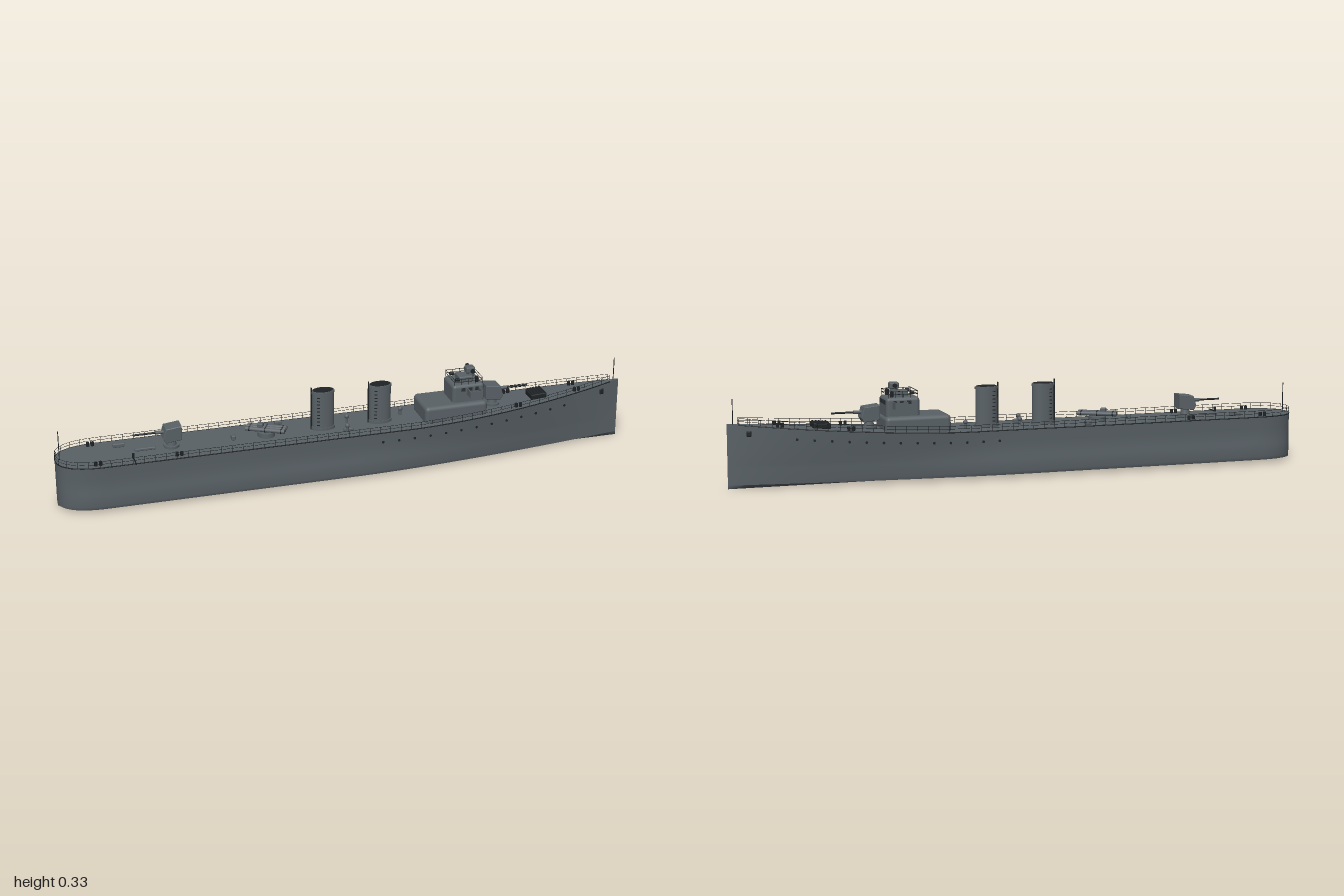
import * as THREE from 'three';
import { mergeGeometries } from 'three/addons/utils/BufferGeometryUtils.js';
import { RoundedBoxGeometry } from 'three/addons/geometries/RoundedBoxGeometry.js';

const mat = (name, color, side = THREE.FrontSide) => {
  const m = new THREE.MeshStandardMaterial({ color, side });
  m.name = name;
  return m;
};
const V = (x, y, z) => new THREE.Vector3(x, y, z);
const clamp = THREE.MathUtils.clamp, lerp = THREE.MathUtils.lerp;

// Hull lines: deck height, plan half-widths and the side profile
const deckY = x => 0.165 + 0.051 * Math.pow(clamp((x - 0.2) / 0.8, 0, 1), 1.5);
const sternTaper = x => Math.pow(Math.max(0, 1 - Math.pow(clamp((-0.84 - x) / 0.16, 0, 1), 2.4)), 1 / 2.4);
const deckHalf = x => 0.1 * (1 - Math.pow(clamp((x - 0.2) / 0.8, 0, 1), 2.2)) * sternTaper(x);
const keelHalf = x => 0.1 * (1 - Math.pow(clamp((x - 0.02) / 0.98, 0, 1), 1.6)) * sternTaper(x);
// Each level: height, blend from keel plan to deck plan, width factor
const LEVELS = [[0.012, 0, 0.95], [0.024, 0, 1], [0.065, 0.2, 1], [0.08, 0.35, 0.955], [0.12, 0.7, 0.955], [null, 1, 0.985]];
const profile = x => LEVELS.map(([y, k, f]) => [y ?? deckY(x), lerp(keelHalf(x), deckHalf(x), k) * f]);
function hullHalf(x, y) {
  const p = profile(x);
  for (let i = 1; i < p.length; i++)
    if (y <= p[i][0]) return lerp(p[i - 1][1], p[i][1], (y - p[i - 1][0]) / (p[i][0] - p[i - 1][0]));
  return p[p.length - 1][1];
}

// Skin a list of equal-length cross-sections
function loft(sections) {
  const n = sections[0].length, index = [];
  for (let i = 0; i < sections.length - 1; i++)
    for (let j = 0; j < n - 1; j++) {
      const a = i * n + j, b = a + n;
      index.push(a, b, b + 1, a, b + 1, a + 1);
    }
  const g = new THREE.BufferGeometry().setFromPoints(sections.flat());
  g.setIndex(index);
  g.computeVertexNormals();
  return g;
}

export function createModel() {
  const ship = new THREE.Group();
  ship.name = 'warship';
  const grey = mat('hullGrey', 0x596166);
  const dark = mat('darkFittings', 0x1f2325);
  const glass = mat('windowDark', 0x2b3033);

  const add = (name, geo, m, x = 0, y = 0, z = 0, parent = ship) => {
    const mesh = new THREE.Mesh(geo, m);
    mesh.name = name;
    mesh.position.set(x, y, z);
    parent.add(mesh);
    return mesh;
  };
  const group = (name, x, y, z, parent = ship) => {
    const g = new THREE.Group();
    g.name = name;
    g.position.set(x, y, z);
    parent.add(g);
    return g;
  };
  const box = (w, h, d) => new THREE.BoxGeometry(w, h, d);
  const cyl = (r, h, n = 12, r2 = r) => new THREE.CylinderGeometry(r, r2, h, n);
  const cylX = (r, h, n = 10) => cyl(r, h, n).rotateZ(Math.PI / 2);
  const cylZ = (r, h, n = 10) => cyl(r, h, n).rotateX(Math.PI / 2);
  const rbox = (w, h, d, r) => new RoundedBoxGeometry(w, h, d, 3, r);

  // Hull: stations bunch up around the rounded stern
  const xs = [];
  for (let i = 0; i < 14; i++) xs.push(-0.84 - 0.16 * Math.cos(i / 14 * Math.PI / 2));
  for (let i = 0; i <= 50; i++) xs.push(-0.84 + 1.84 * i / 50);
  const half = (x, s) => profile(x).map(([y, w]) => V(x, y, s * w));
  add('hullLeftSide', loft(xs.map(x => half(x, 1))), grey);
  add('hullRightSide', loft(xs.map(x => half(x, -1).reverse())), grey);
  add('hullBottom', loft(xs.map(x => [half(x, -1)[0], V(x, 0, 0), half(x, 1)[0]])), grey);
  add('deck', loft(xs.map(x => [half(x, 1)[5], half(x, -1)[5]])), grey);

  // Deck edge strip and railing, running round the stern
  const edge = (x, s, lift, inset) => V(x, deckY(x) + lift, s * Math.max(0, deckHalf(x) * 0.985 - inset));
  const edgeCurve = (lift, inset) => {
    const run = xs.filter(x => x < 0.975);
    return new THREE.CatmullRomCurve3([
      ...run.slice(1).reverse().map(x => edge(x, 1, lift, inset)),
      ...run.map(x => edge(x, -1, lift, inset))]);
  };
  add('deckEdge', new THREE.TubeGeometry(edgeCurve(-0.001, 0), 220, 0.002, 5), dark);
  for (const h of [0.011, 0.021])
    add('railing', new THREE.TubeGeometry(edgeCurve(h, 0.002), 220, 0.0007, 4), dark);
  add('railingPosts', mergeGeometries(edgeCurve(0.0105, 0.002).getSpacedPoints(110)
    .map(p => cyl(0.0008, 0.021, 4).translate(p.x, p.y, p.z))), dark);

  // Portholes and anchors on both sides
  for (const s of [1, -1]) {
    const onHull = (name, geo, x, y) => {
      const slope = (hullHalf(x + 0.01, y) - hullHalf(x - 0.01, y)) / 0.02;
      add(name, geo, dark, x, y, s * hullHalf(x, y)).rotation.y = -s * Math.atan(slope);
    };
    for (let i = 0; i < 13; i++) {
      const x = 0.1 + i * 0.0565;
      onHull('porthole', cylZ(0.0045, 0.004), x, deckY(x) - 0.036);
    }
    onHull('anchor', rbox(0.016, 0.02, 0.01, 0.004), 0.93, 0.182);
    // Paired mooring bollards
    for (const [x, inset] of [[-0.87, 0.02], [-0.6, 0.02], [0.6, 0.016], [0.83, 0.014]])
      for (const dx of [-0.008, 0.008])
        add('bollard', cyl(0.0055, 0.014, 10), dark, x + dx, deckY(x) + 0.007, s * (deckHalf(x) - inset));
  }

  // Flagstaffs
  add('sternStaff', cyl(0.0015, 0.105, 6), dark, -0.985, 0.215, 0);
  add('bowStaff', cyl(0.0015, 0.085, 6), dark, 0.98, 0.255, 0);

  // Oval funnels with rim, dark mouth, steam pipe and rungs
  for (const [x, top] of [[-0.085, 0.305], [0.117, 0.303]]) {
    const f = group('funnel', x, 0.165, 0);
    const h = top - 0.165;
    const oval = (name, r, hh, y, m) => add(name, cyl(r, hh, 32), m, 0, y, 0, f).scale.set(1, 1, 0.62);
    oval('funnelBody', 0.038, h, h / 2, grey);
    oval('funnelBase', 0.042, 0.01, 0.005, grey);
    oval('funnelRim', 0.0405, 0.007, h - 0.005, grey);
    oval('funnelMouth', 0.035, 0.002, h + 0.0005, dark);
    add('steamPipe', cyl(0.0025, h + 0.012, 8), dark, -0.041, (h + 0.012) / 2, 0, f);
    for (const s of [1, -1])
      for (let i = 0; i < 9; i++)
        add('rung', box(0.01, 0.0025, 0.003), dark, -0.021, 0.02 + i * 0.0125, s * 0.0205, f).rotation.y = -s * 0.4;
  }

  // Deckhouse, bridge and open upper bridge
  add('deckhouse', rbox(0.225, 0.066, 0.142, 0.014), grey, 0.372, 0.189, 0);
  add('bridge', rbox(0.115, 0.075, 0.104, 0.012), grey, 0.42, 0.2465, 0);
  for (const z of [-0.031, -0.0105, 0.0105, 0.031])
    add('bridgeWindow', box(0.003, 0.014, 0.016), glass, 0.4775, 0.267, z);
  for (const s of [1, -1]) {
    const wing = group('bridgeWing', 0.435, 0.25, s * 0.07);
    add('wingFloor', box(0.045, 0.003, 0.042), grey, 0, 0, 0, wing);
    for (const dx of [-0.021, 0.021]) add('wingScreen', box(0.003, 0.022, 0.042), grey, dx, 0.011, 0, wing);
    add('wingEnd', box(0.045, 0.022, 0.003), grey, 0, 0.011, s * 0.0195, wing);
    for (const dx of [-0.025, 0, 0.025])
      add('sideWindow', box(0.014, 0.012, 0.003), glass, 0.425 + dx, 0.267, s * 0.0515);
    for (const y of [0.294, 0.304])
      add('bridgeRail', cylX(0.001, 0.1, 4), dark, 0.42, y, s * 0.047);
    for (let i = 0; i < 5; i++)
      add('bridgeRailPost', cyl(0.001, 0.022, 4), dark, 0.37 + i * 0.025, 0.294, s * 0.047);
  }
  for (const x of [0.37, 0.47])
    for (const y of [0.294, 0.304]) add('bridgeRail', cylZ(0.001, 0.094, 4), dark, x, y, 0);

  // Gun director with range finder arms
  add('directorHouse', rbox(0.05, 0.022, 0.05, 0.005), grey, 0.42, 0.292, 0);
  add('directorPedestal', cyl(0.013, 0.04, 16), grey, 0.44, 0.3, 0);
  add('director', rbox(0.032, 0.022, 0.03, 0.005), grey, 0.44, 0.319, 0);
  add('rangeFinder', cylZ(0.005, 0.064), grey, 0.442, 0.321, 0);
  for (const s of [1, -1]) {
    add('rangeFinderEnd', cylZ(0.007, 0.009), dark, 0.442, 0.321, s * 0.028);
    add('lookoutSight', cyl(0.006, 0.02, 10), dark, 0.455, 0.293, s * 0.032);
    add('signalLamp', cylX(0.006, 0.014, 10), dark, 0.385, 0.297, s * 0.03);
  }

  // Deck guns: pedestal, shield and long barrel
  for (const [x, dir] of [[0.525, 1], [-0.61, -1]]) {
    const gun = group('deckGun', x, deckY(x), 0);
    if (dir < 0) gun.rotation.y = Math.PI;
    add('gunBase', cyl(0.026, 0.008, 20), grey, 0, 0.004, 0, gun);
    add('gunPedestal', cyl(0.013, 0.03, 16, 0.018), grey, 0, 0.02, 0, gun);
    const shape = new THREE.Shape([[-0.03, 0.032], [0.022, 0.026], [0.03, 0.04], [0.02, 0.072], [-0.03, 0.078]]
      .map(p => new THREE.Vector2(...p)));
    const shield = new THREE.ExtrudeGeometry(shape, { depth: 0.05, bevelEnabled: true, bevelSize: 0.002, bevelThickness: 0.002, bevelSegments: 1 });
    add('gunShield', shield.translate(0, 0, -0.025), grey, 0, 0, 0, gun);
    add('gunSleeve', cylX(0.006, 0.03), grey, 0.038, 0.056, 0, gun);
    add('gunBarrel', cylX(0.0033, 0.09), dark, 0.083, 0.056, 0, gun);
  }

  // Triple torpedo mount, trained off the centreline
  const tubes = group('torpedoMount', -0.285, 0.165, 0.004);
  tubes.rotation.y = -0.5;
  add('torpedoTurntable', cyl(0.03, 0.016, 20), grey, 0, 0.008, 0, tubes);
  for (const z of [-0.016, 0, 0.016]) {
    add('torpedoTube', cylX(0.0075, 0.135, 14), grey, 0, 0.026, z, tubes);
    for (const x of [-0.055, 0, 0.055]) add('tubeBand', cylX(0.0083, 0.004, 14), dark, x, 0.026, z, tubes);
  }
  add('torpedoSeat', rbox(0.02, 0.014, 0.02, 0.003), grey, -0.02, 0.037, 0, tubes);

  // Foredeck hatch with slats
  const hatch = group('foredeckHatch', 0.69, deckY(0.69), 0);
  hatch.rotation.z = 0.07;
  add('hatchCover', rbox(0.058, 0.02, 0.062, 0.004), dark, 0, 0.008, 0, hatch);
  for (let i = -2; i <= 2; i++) add('hatchSlat', box(0.004, 0.003, 0.06), dark, i * 0.011, 0.0185, 0, hatch);

  // Small deck fittings: lockers, vents and skylights [x, z, length, height, width]
  for (const [x, z, l, h, w] of [[-0.78, -0.045, 0.04, 0.014, 0.014], [-0.7, 0.005, 0.07, 0.01, 0.012],
    [-0.4, 0.006, 0.014, 0.016, 0.02], [-0.225, -0.068, 0.026, 0.014, 0.012], [-0.01, 0.05, 0.032, 0.012, 0.014]])
    add('deckLocker', rbox(l, h, w, 0.003), grey, x, 0.165 + h / 2, z);
  for (const [x, z] of [[0.005, -0.02], [-0.015, 0.055], [0.2, -0.03]]) {
    add('ventPipe', cyl(0.005, 0.022, 10), grey, x, 0.176, z);
    add('ventHead', new THREE.SphereGeometry(0.008, 12, 8), grey, x, 0.188, z);
  }
  // Boom projecting over the left quarter
  add('quarterBoom', cylZ(0.0022, 0.055, 6), dark, -0.75, 0.168, 0.084);
  add('boomPost', cyl(0.004, 0.02, 8), dark, -0.75, 0.174, 0.06);

  ship.position.z = -0.005;
  const root = new THREE.Group();
  root.name = 'destroyer';
  root.add(ship);
  return root;
}
